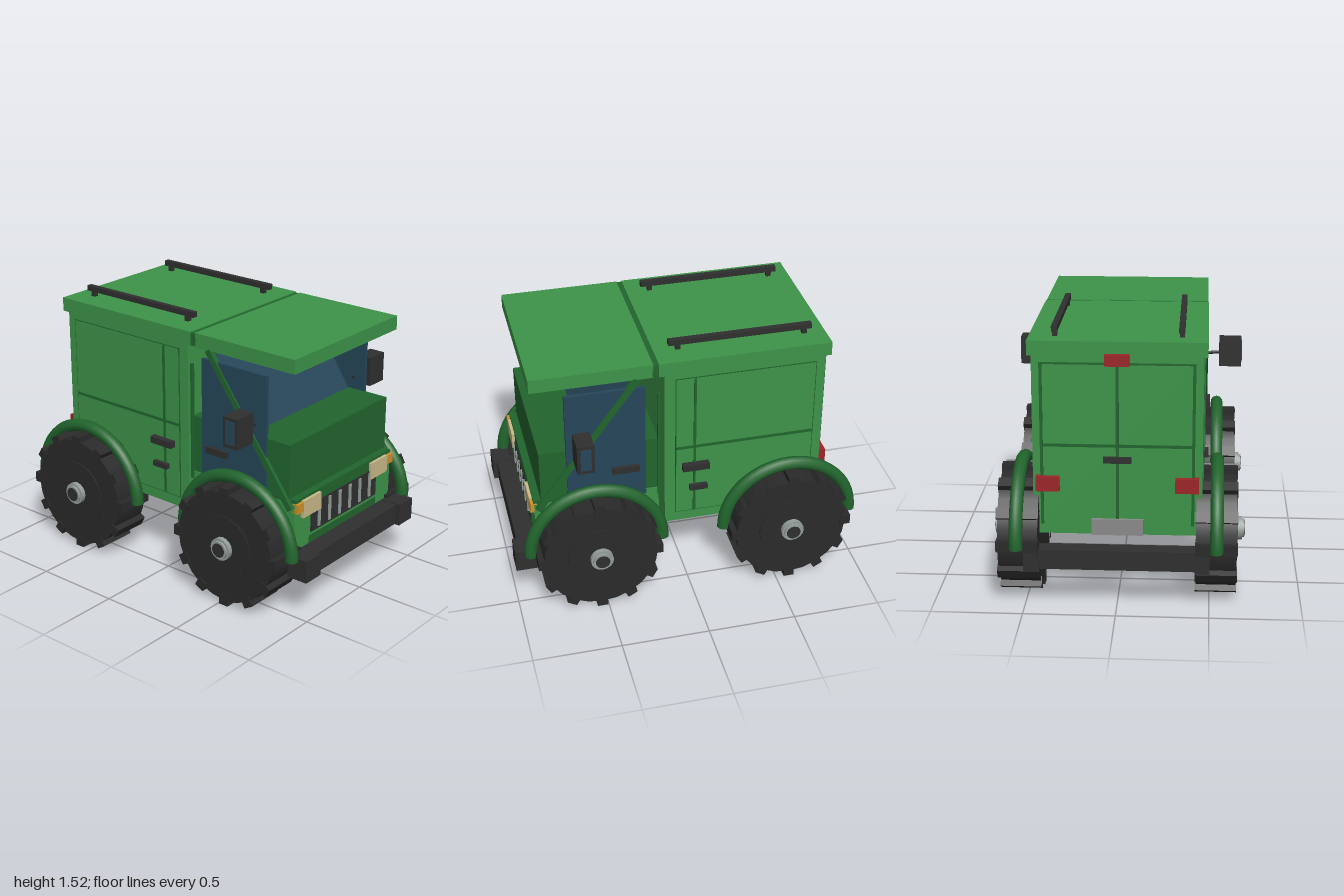
import * as THREE from 'three';

export function createModel() {
  const root = new THREE.Group();
  const mat = (name, color) => {
    const m = new THREE.MeshStandardMaterial({ color });
    m.name = name;
    return m;
  };
  const green = mat('body green', 0x3d9449);
  const darkGreen = mat('dark green', 0x21652d);
  const black = mat('black trim', 0x2f2f2f);
  const rubber = mat('tyre rubber', 0x2a2a2a);
  const glass = mat('blue glass', 0x26475a);
  const cream = mat('headlight cream', 0xcbbb88);
  const orange = mat('indicator orange', 0xd0922a);
  const red = mat('tail light red', 0x9c2428);
  const silver = mat('silver', 0x949e99);
  const grey = mat('plate grey', 0x8a8a8a);

  const add = (name, geo, m, parent = root) => {
    const mesh = new THREE.Mesh(geo, m);
    mesh.name = name;
    parent.add(mesh);
    return mesh;
  };
  // box from min and max along each axis
  const box = (name, m, [x0, x1], [y0, y1], [z0, z1], parent = root) => {
    const b = add(name, new THREE.BoxGeometry(x1 - x0, y1 - y0, z1 - z0), m, parent);
    b.position.set((x0 + x1) / 2, (y0 + y1) / 2, (z0 + z1) / 2);
    return b;
  };
  // mirrored pair of boxes
  const pair = (name, m, [x0, x1], y, z) => {
    box(name + 'Left', m, [x0, x1], y, z);
    box(name + 'Right', m, [-x1, -x0], y, z);
  };
  // box laid from one point to another in the z-y plane
  const slanted = (name, m, x, width, [z0, y0], [z1, y1], thick) => {
    const b = add(name, new THREE.BoxGeometry(width, Math.hypot(z1 - z0, y1 - y0), thick), m);
    b.position.set(x, (y0 + y1) / 2, (z0 + z1) / 2);
    b.rotation.x = Math.atan2(z1 - z0, y1 - y0);
  };

  // rear cargo box and roofs
  box('cargoBox', green, [-0.455, 0.455], [0.385, 1.39], [-0.785, 0.125]);
  box('cargoRoof', green, [-0.475, 0.475], [1.385, 1.465], [-0.81, 0.16]);
  box('roofJoint', darkGreen, [-0.472, 0.472], [1.388, 1.46], [0.155, 0.195]);
  box('cabRoof', green, [-0.472, 0.472], [1.385, 1.465], [0.19, 0.865]);

  // cab
  box('cabLower', green, [-0.455, 0.455], [0.4, 0.64], [0.16, 0.87]);
  box('cabFloor', darkGreen, [-0.44, 0.44], [0.33, 0.405], [0.125, 0.865]);
  box('frontSkirt', green, [-0.45, 0.45], [0.345, 0.41], [0.8, 0.868]);
  box('skirtStrip', darkGreen, [-0.32, 0.32], [0.35, 0.41], [0.866, 0.871]);
  box('hoodLedge', darkGreen, [-0.45, 0.45], [0.6, 0.665], [0.16, 0.873]);
  box('hood', darkGreen, [-0.455, 0.455], [0.66, 0.975], [0.16, 0.83]);
  slanted('windshield', glass, 0, 0.89, [0.6, 0.92], [0.3, 1.36], 0.015);
  box('windshieldHeader', darkGreen, [-0.46, 0.46], [1.35, 1.39], [0.26, 0.31]);
  pair('sideWindow', glass, [0.448, 0.468], [0.62, 1.33], [0.235, 0.68]);
  pair('cabPost', darkGreen, [0.45, 0.468], [0.6, 1.28], [0.153, 0.167]);
  pair('cabDoorHandle', black, [0.465, 0.492], [0.795, 0.832], [0.275, 0.425]);

  // grille and front lights
  box('grille', black, [-0.31, 0.31], [0.43, 0.6], [0.86, 0.877]);
  for (let i = 0; i < 6; i++) {
    const x = -0.243 + i * 0.0965;
    box('grilleBar', silver, [x - 0.01, x + 0.01], [0.445, 0.59], [0.87, 0.884]);
  }
  pair('headlight', cream, [0.24, 0.4], [0.55, 0.65], [0.86, 0.89]);
  pair('indicator', orange, [0.4, 0.455], [0.59, 0.645], [0.855, 0.89]);

  // bumpers
  box('frontBumper', black, [-0.42, 0.42], [0.245, 0.365], [0.87, 0.975]);
  pair('frontBumperEnd', black, [0.385, 0.515], [0.24, 0.37], [0.875, 1.0]);
  box('rearBumper', black, [-0.45, 0.45], [0.225, 0.335], [-0.91, -0.81]);
  pair('rearBumperEnd', black, [0.42, 0.5], [0.22, 0.34], [-0.93, -0.82]);

  // cargo sides and cab struts, mirrored
  for (const s of [1, -1]) {
    const strip = (name, m, x0, x1, y, z) =>
      box(name, m, s > 0 ? [x0, x1] : [-x1, -x0], y, z);
    slanted('cabStrut', darkGreen, s * 0.463, 0.028, [0.85, 0.61], [0.28, 1.385], 0.036);
    strip('cargoSidePanel', green, 0.45, 0.461, [0.45, 1.34], [-0.73, 0.06]);
    strip('panelTopLine', darkGreen, 0.45, 0.459, [1.338, 1.345], [-0.735, 0.065]);
    strip('panelBottomLine', darkGreen, 0.45, 0.459, [0.445, 0.452], [-0.735, 0.065]);
    strip('panelFrontLine', darkGreen, 0.45, 0.459, [0.445, 1.345], [0.058, 0.065]);
    strip('panelRearLine', darkGreen, 0.45, 0.459, [0.445, 1.345], [-0.735, -0.728]);
    strip('panelDivider', darkGreen, 0.45, 0.467, [0.45, 1.34], [-0.052, -0.038]);
    strip('panelCrossLine', darkGreen, 0.45, 0.466, [0.884, 0.9], [-0.73, 0.06]);
    strip('cargoHandle', black, 0.455, 0.498, [0.748, 0.787], [-0.125, 0.028]);
    strip('cargoLatch', black, 0.455, 0.488, [0.605, 0.635], [-0.118, -0.015]);

    // roof rail on two feet
    strip('roofRail', black, 0.32, 0.352, [1.494, 1.525], [-0.73, 0.078]);
    for (const z of [0.025, -0.69]) {
      strip('railFoot', black, 0.323, 0.349, [1.46, 1.496], [z - 0.014, z + 0.014]);
    }

    // mirror with arm and glass
    strip('mirror', black, 0.545, 0.68, [0.972, 1.145], [0.56, 0.655]);
    strip('mirrorGlass', glass, 0.679, 0.685, [0.995, 1.125], [0.578, 0.637]);
    const arm = add('mirrorArm', new THREE.CylinderGeometry(0.01, 0.01, 0.11, 8), black);
    arm.position.set(s * 0.5, 1.048, 0.605);
    arm.rotation.z = Math.PI / 2 + s * 0.08;
  }

  // rear door
  box('rearDoor', green, [-0.4, 0.4], [0.45, 1.34], [-0.797, -0.78]);
  for (const x of [-0.405, 0, 0.405]) {
    box('rearDoorLine', darkGreen, [x - 0.008, x + 0.008], [0.445, 1.345], [-0.803, -0.78]);
  }
  box('rearDoorTopLine', darkGreen, [-0.405, 0.405], [1.337, 1.345], [-0.8, -0.78]);
  box('rearCrossLine', darkGreen, [-0.4, 0.4], [0.884, 0.9], [-0.802, -0.78]);
  box('rearHandle', black, [-0.075, 0.075], [0.8, 0.832], [-0.82, -0.79]);
  box('topBrakeLight', red, [-0.065, 0.065], [1.34, 1.4], [-0.845, -0.78]);
  pair('tailLight', red, [0.31, 0.437], [0.64, 0.72], [-0.83, -0.78]);
  box('rearPlate', grey, [-0.14, 0.14], [0.39, 0.48], [-0.815, -0.78]);

  // wheels with lugs, and round fenders
  const disc = (name, m, r, x0, x1, sides, parent) => {
    const geo = new THREE.CylinderGeometry(r, r, x1 - x0, sides).rotateZ(Math.PI / 2);
    add(name, geo, m, parent).position.x = (x0 + x1) / 2;
  };
  const makeWheel = () => {
    const w = new THREE.Group();
    w.name = 'wheel';
    disc('tyre', rubber, 0.325, 0.425, 0.643, 24, w);
    disc('wheelFace', rubber, 0.19, 0.64, 0.65, 24, w);
    disc('hub', silver, 0.065, 0.64, 0.677, 16, w);
    disc('hubCap', silver, 0.052, 0.67, 0.69, 16, w);
    disc('hubCenter', black, 0.041, 0.68, 0.693, 16, w);
    for (let i = 0; i < 12; i++) {
      const a = (i * Math.PI) / 6;
      const lug = box('treadLug', rubber, [0.42, 0.648], [-0.03, 0.03], [-0.03, 0.03], w);
      lug.position.y = 0.325 * Math.cos(a);
      lug.position.z = 0.325 * Math.sin(a);
      lug.rotation.x = a;
    }
    return w;
  };
  for (const s of [1, -1]) {
    for (const [wz, fz] of [[0.535, 0.537], [-0.577, -0.58]]) {
      const w = makeWheel();
      w.position.set(0, 0.355, wz);
      w.rotation.y = s > 0 ? 0 : Math.PI;
      root.add(w);
      const fender = add('fender', new THREE.TorusGeometry(0.378, 0.037, 10, 28, Math.PI), darkGreen);
      fender.rotation.y = Math.PI / 2;
      fender.position.set(s * 0.535, 0.357, fz);
      for (const e of [1, -1]) {
        const cap = add('fenderTip', new THREE.CylinderGeometry(0.037, 0.037, 0.004, 10), darkGreen);
        cap.position.set(s * 0.535, 0.357, fz + e * 0.378);
      }
    }
  }
  return root;
}
